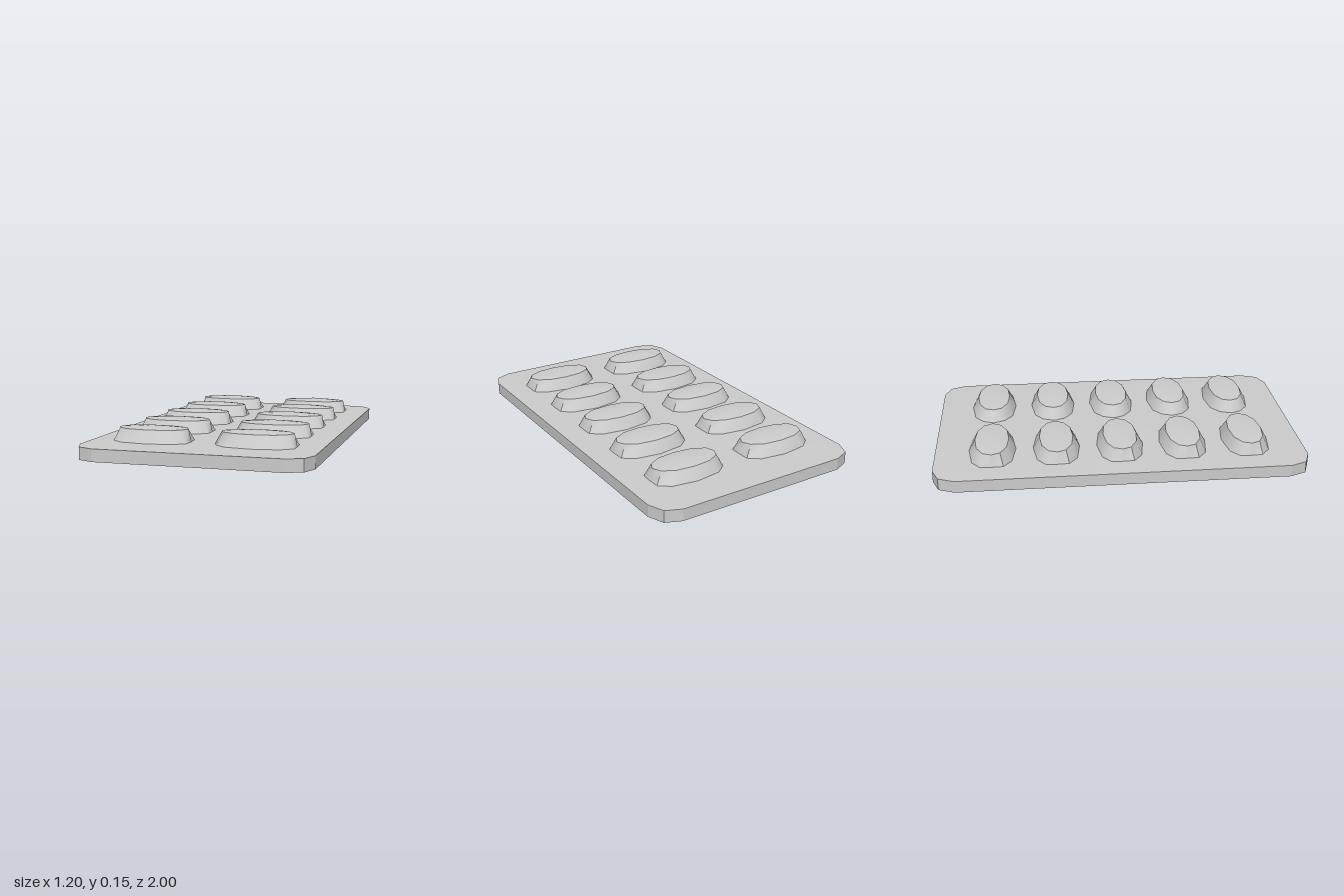
import * as THREE from 'three';
import { toCreasedNormals } from 'three/addons/utils/BufferGeometryUtils.js';

// Closed ring from the half outline [x, halfWidth], running from +x to -x
function ring(half, y) {
  const far = half.map(([x, w]) => [x, y, -w]);
  const near = half.filter(([, w]) => w > 0).reverse().map(([x, w]) => [x, y, w]);
  return [...far, ...near];
}

// Skin stacked rings, closing the ends on the given centre points
function loft(rings, top, bottom) {
  const n = rings[0].length;
  const pos = rings.flat(2);
  const index = [];
  for (let r = 0; r < rings.length - 1; r++) {
    for (let i = 0; i < n; i++) {
      const j = (i + 1) % n;
      const a = r * n + i, b = r * n + j;
      index.push(a, b, b + n, a, b + n, a + n);
    }
  }
  const last = (rings.length - 1) * n;
  const topId = pos.length / 3;
  pos.push(...top);
  if (bottom) pos.push(...bottom);
  for (let i = 0; i < n; i++) {
    const j = (i + 1) % n;
    index.push(last + i, last + j, topId);
    if (bottom) index.push(j, i, topId + 1);
  }
  const g = new THREE.BufferGeometry();
  g.setAttribute('position', new THREE.Float32BufferAttribute(pos, 3));
  g.setIndex(index);
  return g;
}

export function createModel() {
  const group = new THREE.Group();
  group.name = 'blisterPack';
  const foil = new THREE.MeshStandardMaterial({ color: 0xcccccc });
  foil.name = 'silver foil';

  // Tray: chamfered corners and a very slightly raised centre
  const edge = [[0.6, 0.88], [0.565, 0.965], [0.48, 1], [-0.48, 1], [-0.565, 0.965], [-0.6, 0.88]];
  const inset = edge.map(([x, z]) => [x * 0.8, z * 0.83]);
  const trayGeometry = loft(
    [ring(edge, 0), ring(edge, 0.065), ring(inset, 0.069)],
    [0, 0.069, 0], [0, 0, 0]
  );
  const tray = new THREE.Mesh(toCreasedNormals(trayGeometry, 0.3), foil);
  tray.name = 'tray';
  group.add(tray);

  // Pill bubbles: faceted sloping wall under a shallow smooth dome
  const makeBubble = (innerTip) => toCreasedNormals(loft([
    ring([[0.202, 0], [0.2, 0.062], [0.14, 0.108], [0, 0.128], [-0.14, 0.108],
      [-0.198, 0.062], [innerTip, 0]], 0.066),
    ring([[0.188, 0], [0.165, 0.046], [0.1, 0.08], [0, 0.091], [-0.1, 0.08],
      [-0.165, 0.046], [-0.183, 0]], 0.134),
  ], [0, 0.148, 0]), 0.7);

  const columns = [
    { side: 'right', x: -0.277, geometry: makeBubble(-0.2) },
    { side: 'left', x: 0.271, geometry: makeBubble(-0.222) },
  ];
  for (const { side, x, geometry } of columns) {
    for (let i = 0; i < 5; i++) {
      const bubble = new THREE.Mesh(geometry, foil);
      bubble.name = `${side}Bubble${i + 1}`;
      bubble.position.set(x, 0, (i - 2) * 0.346);
      group.add(bubble);
    }
  }
  return group;
}
